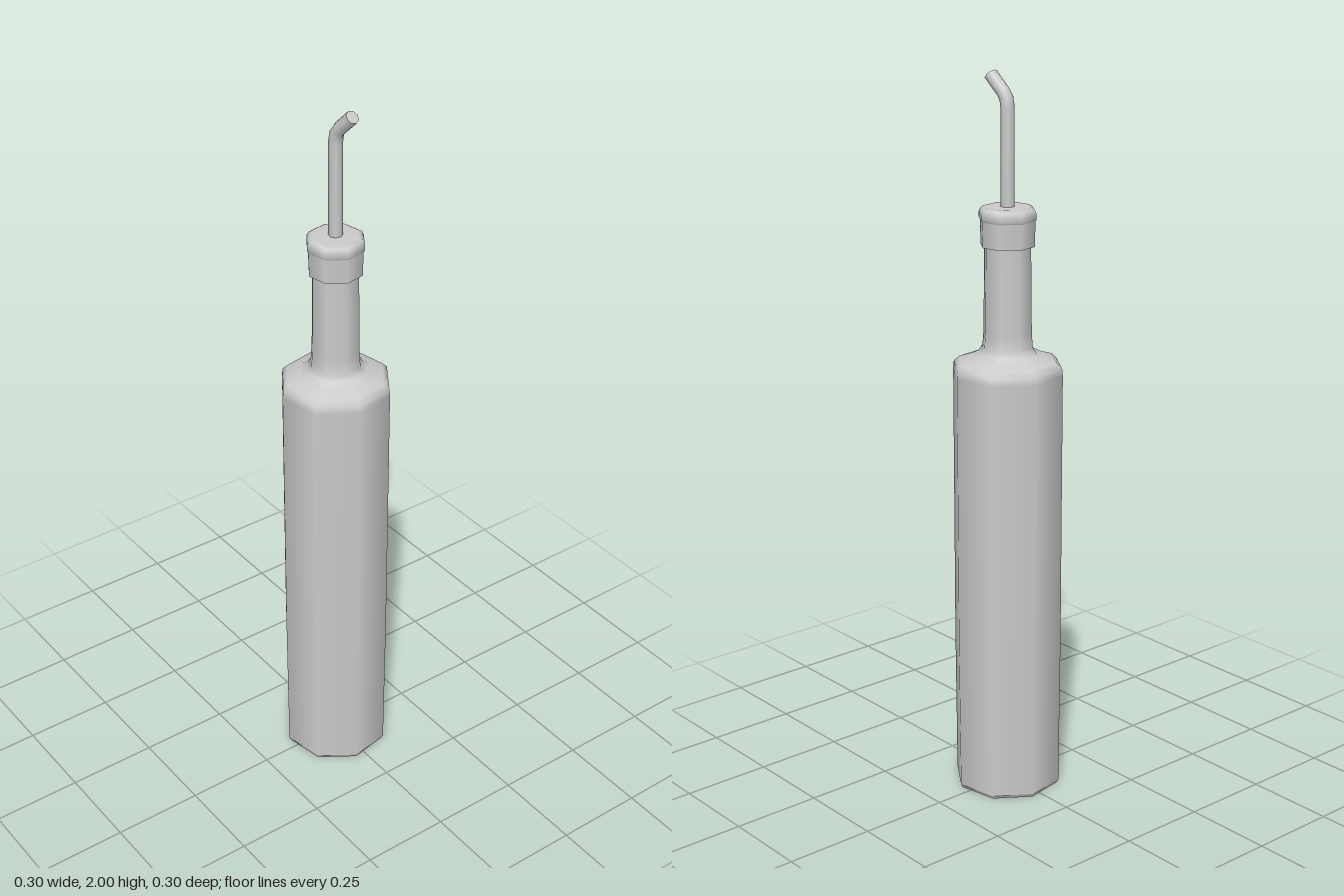
import * as THREE from 'three';

const SIDES = 8;
const material = new THREE.MeshStandardMaterial({ color: 0xcccccc });

// Eight-sided turned part; each profile runs upward along the outside
function turned(name, profile) {
  const points = profile.map(([r, y]) => new THREE.Vector2(r, y));
  const mesh = new THREE.Mesh(new THREE.LatheGeometry(points, SIDES, 0.58), material);
  mesh.name = name;
  return mesh;
}

// Cylinder whose rings are moved and tilted to follow a bend: [y, z, tilt]
function bentPipe(radius, rings) {
  const last = rings.length - 1;
  const geometry = new THREE.CylinderGeometry(radius, radius, last, SIDES, last);
  const pos = geometry.attributes.position, nor = geometry.attributes.normal;
  const axis = new THREE.Vector3(1, 0, 0), p = new THREE.Vector3(), n = new THREE.Vector3();
  for (let i = 0; i < pos.count; i++) {
    const [y, z, tilt] = rings[Math.round(pos.getY(i) + last / 2)];
    p.set(pos.getX(i), 0, pos.getZ(i)).applyAxisAngle(axis, tilt);
    n.fromBufferAttribute(nor, i).applyAxisAngle(axis, tilt);
    pos.setXYZ(i, p.x, p.y + y, p.z + z);
    nor.setXYZ(i, n.x, n.y, n.z);
  }
  return geometry;
}

export function createModel() {
  const group = new THREE.Group();
  group.name = 'pourerBottle';

  // Glass: flat base, tall body, sloping shoulder and slim neck
  group.add(turned('base', [[0, 0], [0.145, 0]]));
  group.add(turned('baseEdge', [[0.145, 0], [0.15, 0.01]]));
  group.add(turned('bottle', [
    [0.15, 0.01], [0.153, 0.43], [0.153, 1.2], [0.151, 1.22], [0.137, 1.234],
    [0.1, 1.246], [0.08, 1.256], [0.07, 1.273], [0.067, 1.31], [0.064, 1.56],
  ]));

  // Collar round the mouth and the rounded stopper on it
  group.add(turned('collarUnderside', [[0.06, 1.545], [0.074, 1.545]]));
  group.add(turned('collar', [[0.074, 1.545], [0.076, 1.615]]));
  group.add(turned('stopper', [
    [0.074, 1.61], [0.079, 1.618], [0.079, 1.633], [0.074, 1.643], [0.064, 1.649], [0, 1.649],
  ]));

  // Pouring spout, bent forward at the top
  const spout = new THREE.Mesh(bentPipe(0.0185, [
    [1.64, 0, 0], [1.905, 0, 0.04], [1.93, 0.004, 0.38], [1.946, 0.015, 0.72], [1.987, 0.056, 0.74],
  ]), material);
  spout.name = 'spout';
  spout.rotation.y = 0.18;
  group.add(spout);

  return group;
}
